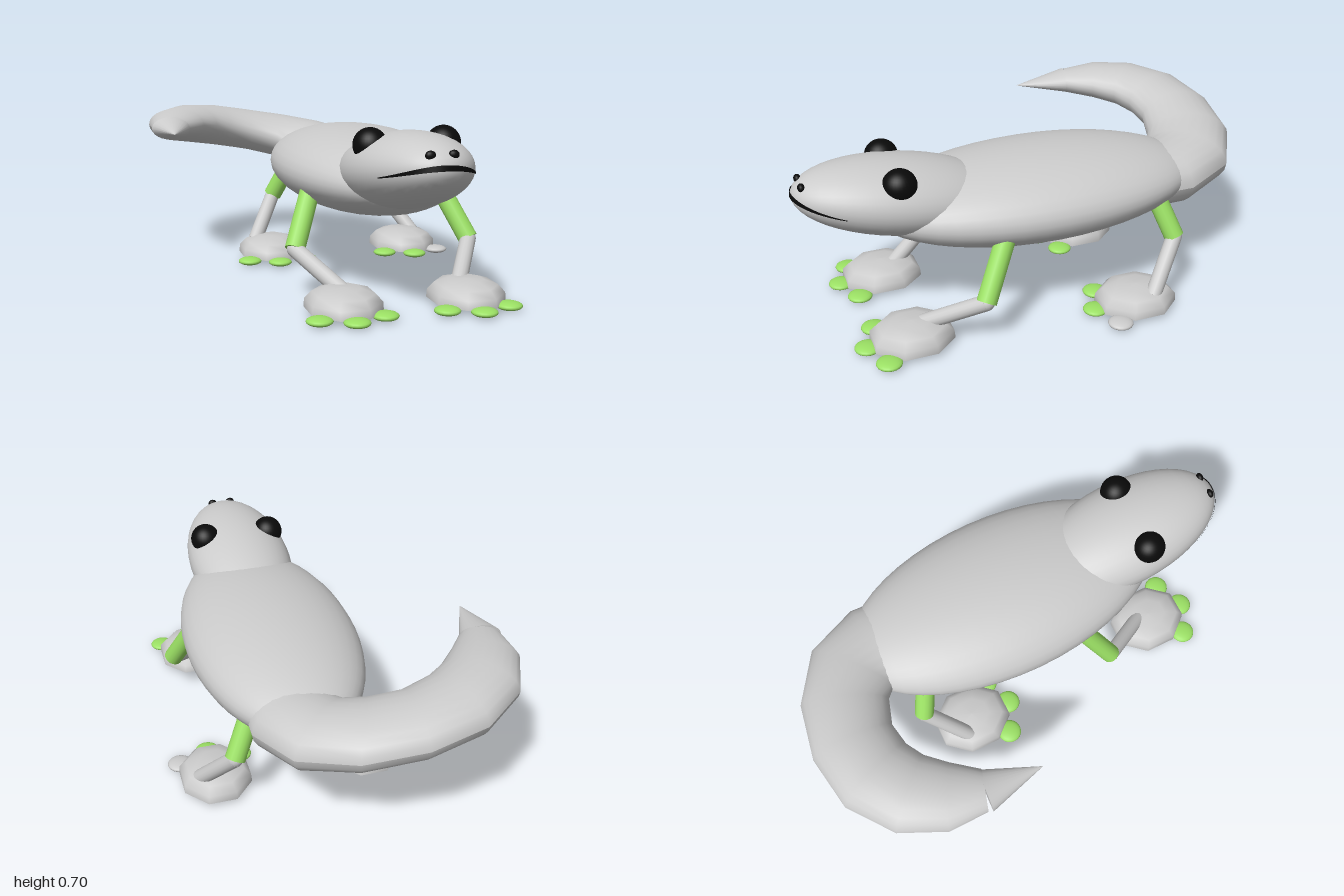
import * as THREE from 'three';

const mat = (color, side = THREE.FrontSide) => new THREE.MeshStandardMaterial({ color, side });
const GREY = mat(0xcccccc);
const GREEN = mat(0x9be064);
const BLACK = mat(0x0a0a0a);
const MID = 0.185; // x of the body's own plane of symmetry

function add(parent, name, geometry, material, position = [0, 0, 0], scale = [1, 1, 1]) {
  const mesh = new THREE.Mesh(geometry, material);
  mesh.name = name;
  mesh.position.set(...position);
  mesh.scale.set(...scale);
  parent.add(mesh);
  return mesh;
}

const ball = (w = 32, h = 20) => new THREE.SphereGeometry(1, w, h);

// Cylinder between two points
function limb(parent, name, from, to, radius, material) {
  const a = new THREE.Vector3(...from);
  const b = new THREE.Vector3(...to);
  const dir = b.clone().sub(a);
  const mesh = add(parent, name, new THREE.CylinderGeometry(radius, radius, dir.length(), 16), material);
  mesh.position.copy(a).add(b).multiplyScalar(0.5);
  mesh.quaternion.setFromUnitVectors(new THREE.Vector3(0, 1, 0), dir.normalize());
}

// Head: an ellipsoid with its snout tilted up
const HEAD = { y: 0.535, z: 0.57, rx: 0.23, ry: 0.151, rz: 0.433, tilt: 0.157 };

// Front z of the head surface at an offset dx from the middle and a height y
function headZ(dx, y) {
  const s = Math.sin(HEAD.tilt), c = Math.cos(HEAD.tilt), dy = y - HEAD.y;
  const p = 1 / HEAD.ry ** 2, q = 1 / HEAD.rz ** 2;
  const A = s * s * p + c * c * q;
  const B = 2 * dy * s * c * (q - p);
  const C = dy * dy * (c * c * p + s * s * q) + (dx / HEAD.rx) ** 2 - 1;
  return HEAD.z + (-B + Math.sqrt(Math.max(0, B * B - 4 * A * C))) / (2 * A);
}

// Crescent mouth wrapped on the snout
function mouthGeometry() {
  const pos = [], idx = [], n = 28;
  for (let i = 0; i <= n; i++) {
    const t = (i / n) * 2 - 1;
    const dx = t * 0.185;
    const top = 0.553 + 0.062 * (1 - t * t);
    const thick = 0.004 + 0.017 * (1 - t * t);
    for (const y of [top, top - thick]) pos.push(MID + dx * 1.012, y, headZ(dx, y) + 0.004);
    if (i < n) idx.push(2 * i, 2 * i + 1, 2 * i + 2, 2 * i + 1, 2 * i + 3, 2 * i + 2);
  }
  const g = new THREE.BufferGeometry();
  g.setAttribute('position', new THREE.Float32BufferAttribute(pos, 3));
  g.setIndex(idx);
  g.computeVertexNormals();
  return g;
}

// Tail: flattened oval sections [x, y, z, half width, half height] along a curl
function tailGeometry() {
  const rows = [
    [0.22, 0.44, -0.42, 0.18, 0.12],
    [0.22, 0.445, -0.58, 0.19, 0.12],
    [0.16, 0.47, -0.71, 0.19, 0.115],
    [0.03, 0.505, -0.795, 0.18, 0.105],
    [-0.15, 0.54, -0.83, 0.17, 0.1],
    [-0.32, 0.57, -0.8, 0.17, 0.098],
    [-0.45, 0.59, -0.71, 0.16, 0.09],
    [-0.53, 0.6, -0.58, 0.135, 0.075],
    [-0.57, 0.6, -0.445, 0.085, 0.05],
  ];
  const pos = [], idx = [], n = 24;
  rows.forEach(([x, y, z, w, h], i) => {
    const a = rows[Math.max(0, i - 1)], b = rows[Math.min(rows.length - 1, i + 1)];
    const dir = new THREE.Vector2(b[0] - a[0], b[2] - a[2]).normalize();
    for (let j = 0; j <= n; j++) {
      const t = (j / n) * Math.PI * 2;
      const u = Math.cos(t) * w;
      pos.push(x - dir.y * u, y + Math.sin(t) * h, z + dir.x * u);
      if (i < rows.length - 1 && j < n) {
        const k = i * (n + 1) + j;
        idx.push(k, k + 1, k + n + 1, k + 1, k + n + 2, k + n + 1);
      }
    }
  });
  const g = new THREE.BufferGeometry();
  g.setAttribute('position', new THREE.Float32BufferAttribute(pos, 3));
  g.setIndex(idx);
  g.computeVertexNormals();
  return g;
}

// Flat-bottomed eight-sided dome, one unit to each flat side
function footGeometry() {
  const profile = [[0, 0], [1, 0], [1, 0], [0.98, 0.4], [0.8, 0.75], [0.45, 0.96], [0, 1]]
    .map(([r, y]) => new THREE.Vector2(r / Math.cos(Math.PI / 8), y));
  return new THREE.LatheGeometry(profile, 8, Math.PI / 8);
}

// Leg with foot and toes; side is +1 for left, -1 for right
function makeLeg(name, side, { hip, knee, ankle, foot }, greyOuterToe) {
  const leg = new THREE.Group();
  leg.name = name;
  const place = ([dx, y, z]) => [MID + side * dx, y, z];
  limb(leg, 'thigh', place(hip), place(knee), 0.041, GREEN);
  limb(leg, 'shin', place(knee), place(ankle), 0.033, GREY);
  add(leg, 'knee', ball(16, 10), GREY, place(knee), [0.033, 0.033, 0.033]);
  add(leg, 'foot', footGeometry(), GREY, place(foot), [0.14, 0.085, 0.16]);
  for (const k of [-1, 0, 1]) {
    const toe = place([foot[0] + k * 0.127, 0.018, foot[2] + (k ? 0.125 : 0.18)]);
    add(leg, 'toe', ball(20, 10), greyOuterToe && k === 1 ? GREY : GREEN, toe, [0.052, 0.017, 0.052]);
  }
  return leg;
}

export function createModel() {
  const model = new THREE.Group();
  model.name = 'lizard';

  add(model, 'body', ball(36, 24).rotateX(Math.PI / 2), GREY, [MID, 0.465, 0], [0.36, 0.175, 0.7]);

  const head = add(model, 'head', ball(36, 24).rotateX(Math.PI / 2), GREY,
    [MID, HEAD.y, HEAD.z], [HEAD.rx, HEAD.ry, HEAD.rz]);
  head.rotation.x = -HEAD.tilt;
  add(model, 'mouth', mouthGeometry(), mat(0x0a0a0a, THREE.DoubleSide));
  for (const s of [-1, 1]) {
    add(model, 'eye', ball(), BLACK, [MID + s * 0.146, 0.64, 0.61], [0.066, 0.066, 0.068]);
    add(model, 'nostril', ball(16, 10), BLACK,
      [MID + s * 0.043, 0.645, headZ(0.043, 0.645)], [0.02, 0.017, 0.014]);
  }

  add(model, 'tail', tailGeometry(), mat(0xcccccc, THREE.DoubleSide));
  const tip = add(model, 'tailTip', new THREE.ConeGeometry(1, 1, 24).rotateX(Math.PI / 2), GREY,
    [-0.578, 0.6, -0.323], [0.088, 0.052, 0.245]);
  tip.rotation.y = -0.06;

  const front = { hip: [0.275, 0.42, 0.23], knee: [0.372, 0.195, 0.35], ankle: [0.235, 0.07, 0.58], foot: [0.25, 0.02, 0.62] };
  const rear = { hip: [0.195, 0.42, -0.46], knee: [0.27, 0.26, -0.515], ankle: [0.39, 0.07, -0.365], foot: [0.32, 0.02, -0.32] };
  for (const side of [1, -1]) {
    const word = side > 0 ? 'Left' : 'Right';
    model.add(makeLeg('front' + word + 'Leg', side, front, false));
    model.add(makeLeg('rear' + word + 'Leg', side, rear, side > 0));
  }
  return model;
}
